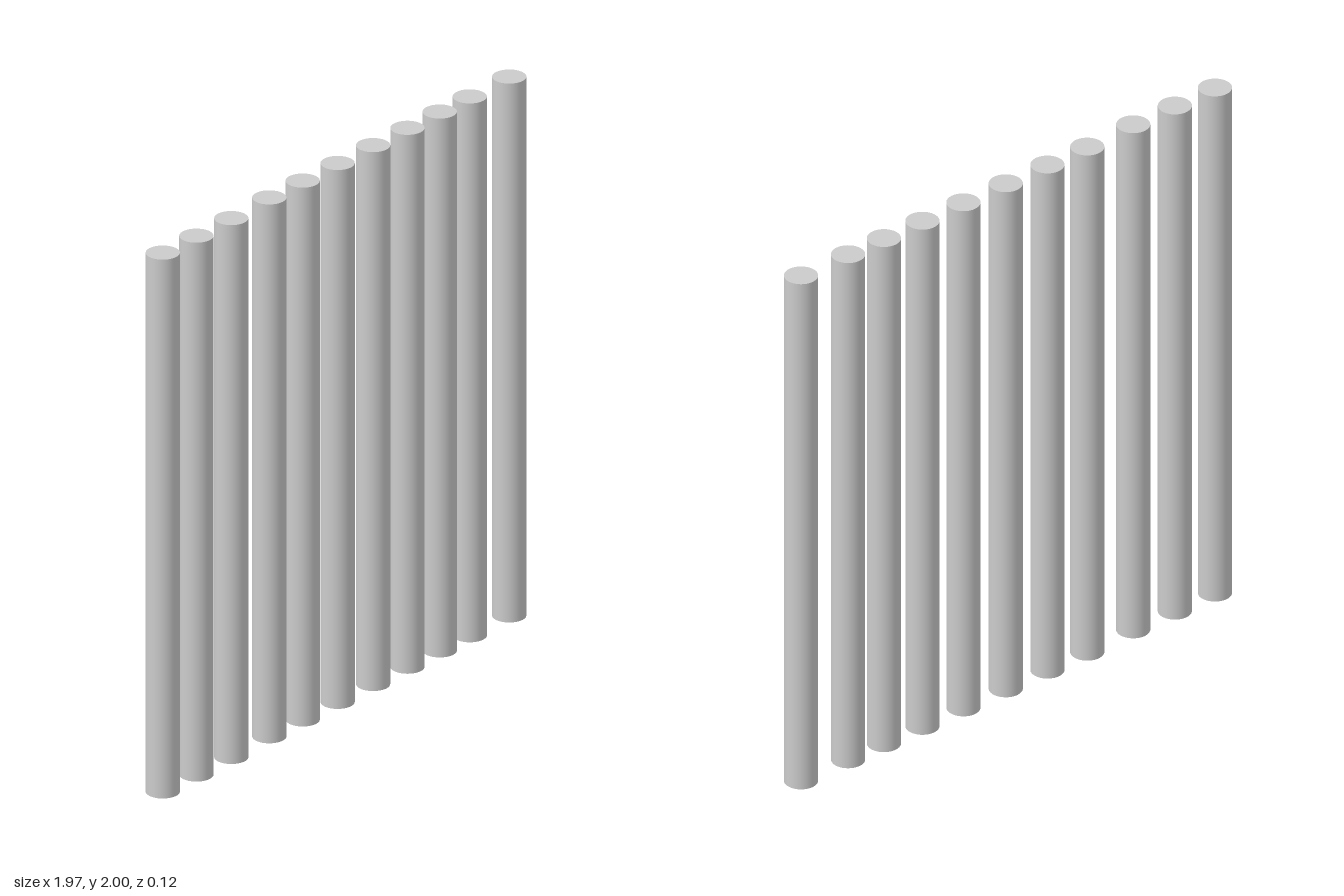
import * as THREE from 'three';

export function createModel() {
  const model = new THREE.Group();
  model.name = 'barRow';
  const material = new THREE.MeshStandardMaterial({ color: 0xcccccc });

  // One round bar, shared by the whole row
  const radius = 0.058, height = 2;
  const barGeometry = new THREE.CylinderGeometry(radius, radius, height, 48);

  // Unevenly spaced bars; the three on the right stand slightly further forward
  const xs = [-0.93, -0.751, -0.565, -0.353, -0.175, 0.011, 0.2, 0.383, 0.555, 0.715, 0.925];
  xs.forEach((x, i) => {
    const bar = new THREE.Mesh(barGeometry, material);
    bar.name = `bar${i + 1}`;
    bar.position.set(x, height / 2, i < 3 ? 0.004 : -0.004);
    model.add(bar);
  });

  return model;
}
